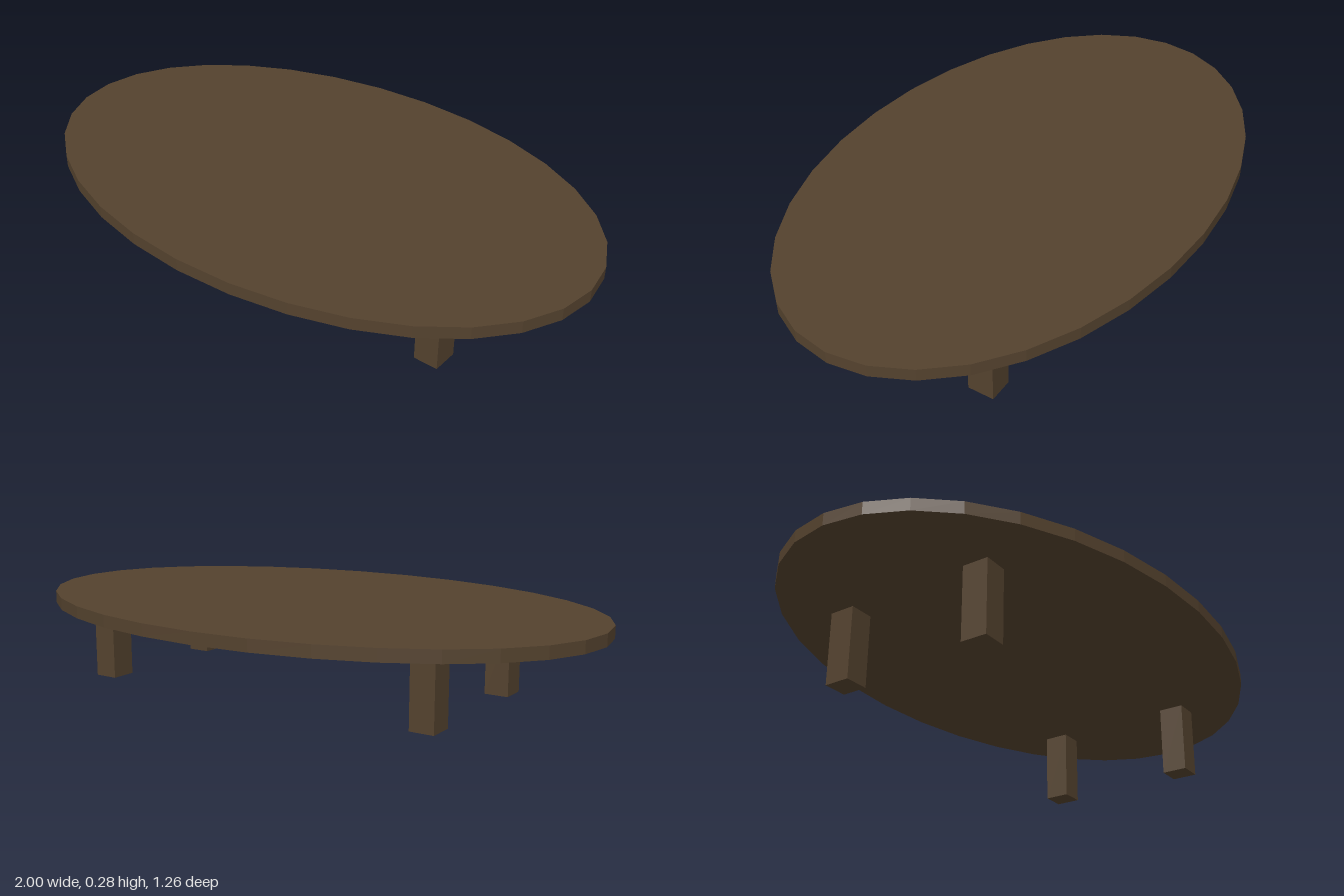
import * as THREE from 'three';

export function createModel() {
  const group = new THREE.Group();
  const wood = new THREE.MeshStandardMaterial({ color: 0x54422e, flatShading: true });
  wood.name = 'darkWood';

  const topHeight = 0.285, legHeight = 0.245;

  // Oval table top
  const thickness = topHeight - legHeight;
  const oval = new THREE.CylinderGeometry(1, 1, thickness, 32);
  oval.scale(1, 1, 0.632);
  oval.translate(0, legHeight + thickness / 2, 0);
  const top = new THREE.Mesh(oval, wood);
  top.name = 'tableTop';
  group.add(top);

  // Four square legs, set slightly off centre
  const legGeometry = new THREE.BoxGeometry(0.081, legHeight, 0.087);
  const legs = [
    ['frontLeftLeg', 0.642, 0.225],
    ['frontRightLeg', -0.582, 0.233],
    ['backLeftLeg', 0.642, -0.274],
    ['backRightLeg', -0.582, -0.274],
  ];
  for (const [name, x, z] of legs) {
    const leg = new THREE.Mesh(legGeometry, wood);
    leg.name = name;
    leg.position.set(x, legHeight / 2, z);
    group.add(leg);
  }

  return group;
}
